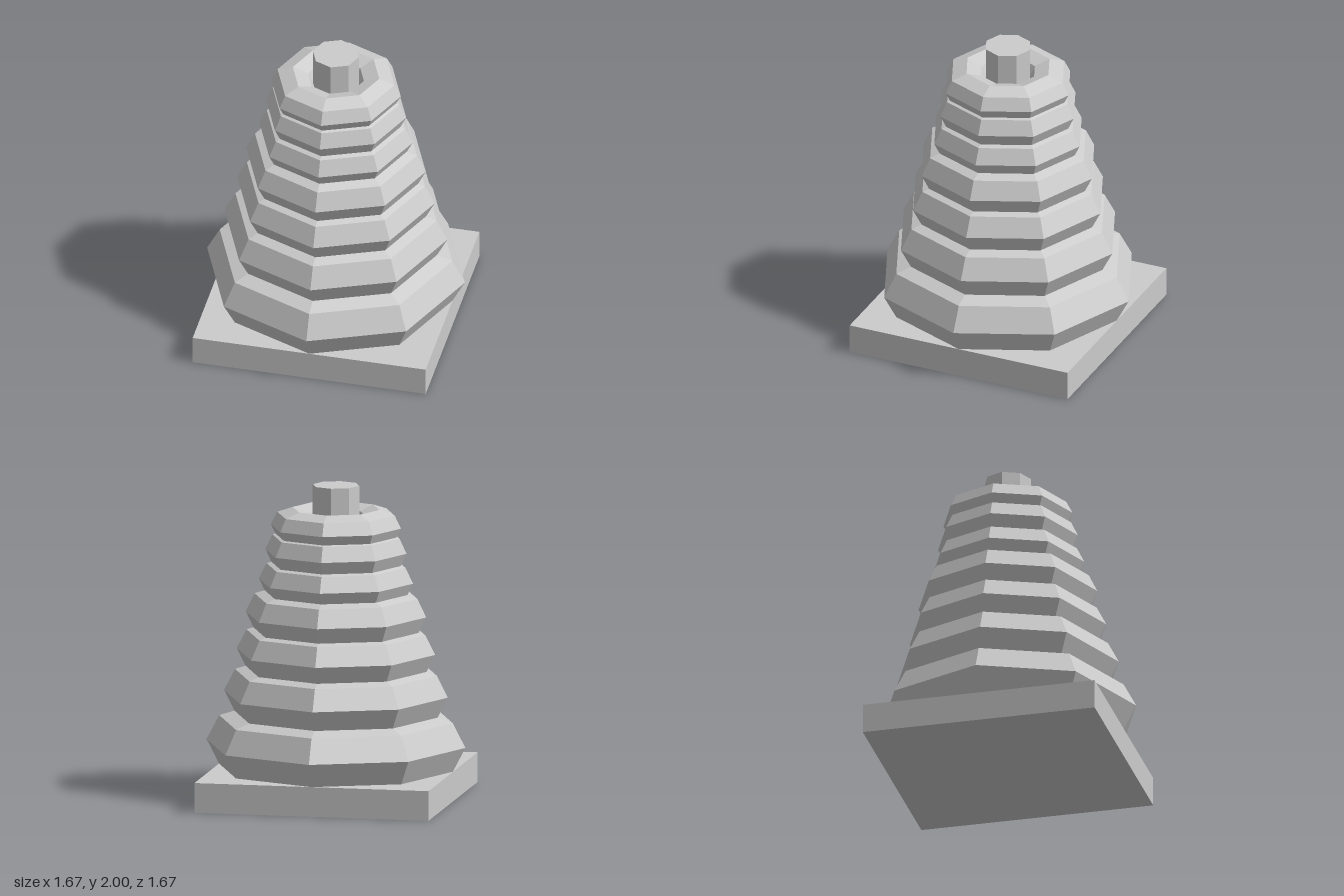
import * as THREE from 'three';

export function createModel() {
  const model = new THREE.Group();
  const material = new THREE.MeshStandardMaterial({ color: 0xcccccc, flatShading: true });

  function add(name, geometry, y) {
    const mesh = new THREE.Mesh(geometry, material);
    mesh.name = name;
    mesh.position.y = y;
    model.add(mesh);
    return mesh;
  }

  // Square plinth
  add('base', new THREE.BoxGeometry(1.51, 0.19, 1.51), 0.095);

  // Stacked eight-sided rings: [outer radius, centre height, half height]
  const rings = [
    [0.835, 0.345, 0.22],
    [0.722, 0.663, 0.194],
    [0.64, 0.934, 0.173],
    [0.582, 1.172, 0.165],
    [0.497, 1.385, 0.141],
    [0.455, 1.575, 0.134],
    [0.42, 1.735, 0.115],
  ];
  rings.forEach(([outer, y, half], i) => {
    const tube = outer / 3;
    const geometry = new THREE.TorusGeometry(outer - tube, tube, 8, 8);
    geometry.rotateX(Math.PI / 2);
    geometry.scale(1, half / tube, 1); // flatten the tube
    add('ring' + (i + 1), geometry, y);
  });

  // Octagonal post through the top ring
  add('topPost', new THREE.CylinderGeometry(0.15, 0.15, 0.4, 8), 1.8);

  return model;
}
